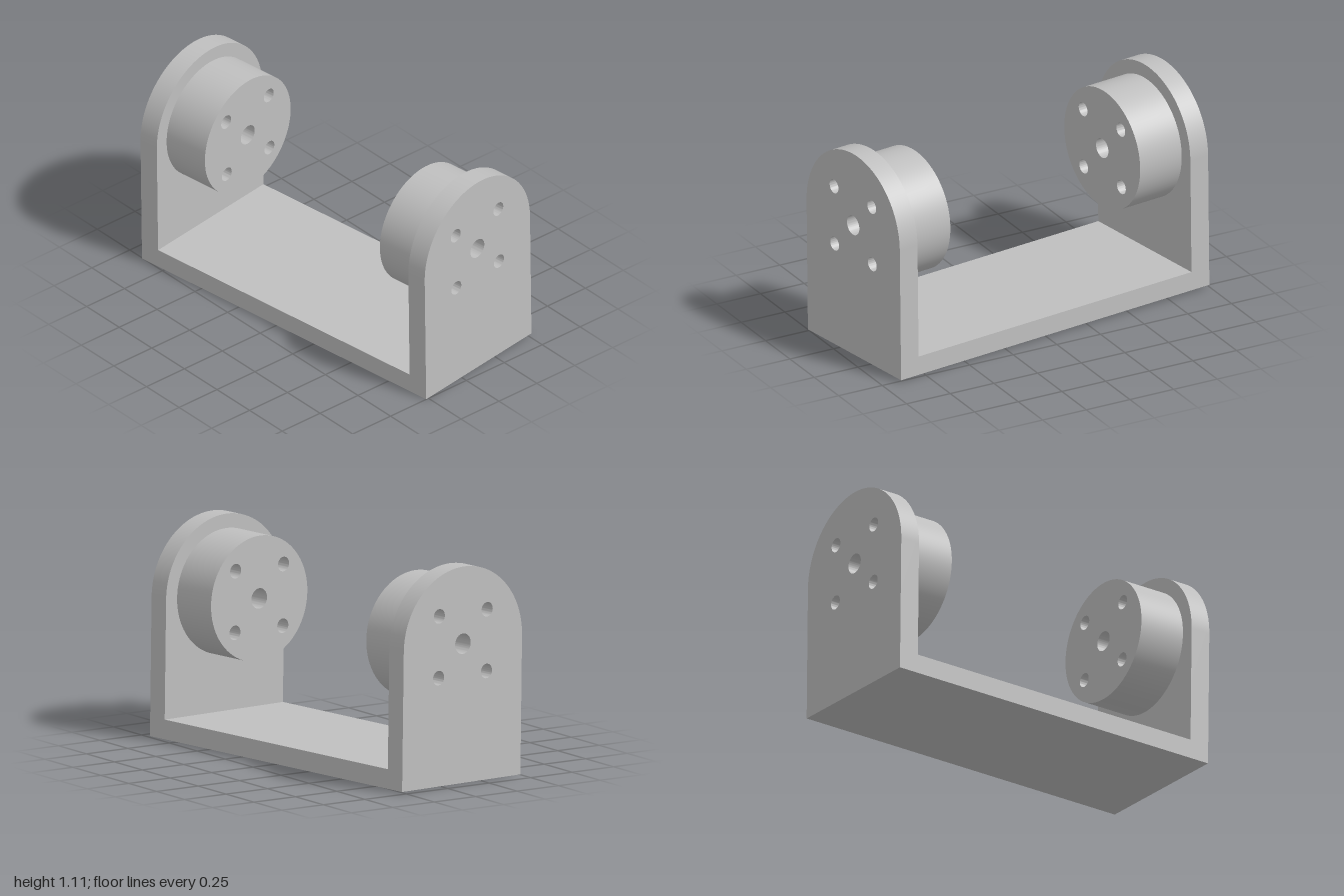
import * as THREE from 'three';
import { toCreasedNormals } from 'three/addons/utils/BufferGeometryUtils.js';

const LENGTH = 1.915, DEPTH = 0.786, WALL = 0.11, FLOOR = 0.1;
const AXIS_Y = 0.71, DRUM_R = 0.32, DRUM_LEN = 0.258;

// Centre bore and four bolt holes, shared by cheeks and drums
function addHoles(shape) {
  const hole = (x, y, r) => {
    const path = new THREE.Path();
    path.absarc(x, y, r, 0, Math.PI * 2, true);
    shape.holes.push(path);
  };
  hole(0, AXIS_Y, 0.052);
  for (const sx of [-1, 1]) for (const sy of [-1, 1]) hole(sx * 0.159, AXIS_Y + sy * 0.157, 0.037);
  return shape;
}

// Extrude a side profile along x, starting at x0
function extrudeX(shape, depth, x0) {
  const geo = new THREE.ExtrudeGeometry(shape, { depth, bevelEnabled: false, curveSegments: 40 });
  geo.rotateY(Math.PI / 2).translate(x0, 0, 0);
  return toCreasedNormals(geo, 0.6);
}

export function createModel() {
  const grey = new THREE.MeshStandardMaterial({ color: 0xbfbfbf });
  grey.name = 'plain grey';
  const bracket = new THREE.Group();
  bracket.name = 'bracket';
  const add = (name, geo) => {
    const mesh = new THREE.Mesh(geo, grey);
    mesh.name = name;
    bracket.add(mesh);
  };

  // Floor plate between the cheeks
  add('floorPlate', new THREE.BoxGeometry(LENGTH - 2 * WALL, FLOOR, DEPTH).translate(0, FLOOR / 2, 0));

  // Round-topped cheek profile
  const r = DEPTH / 2;
  const cheek = new THREE.Shape();
  cheek.moveTo(-r, 0);
  cheek.lineTo(r, 0);
  cheek.lineTo(r, AXIS_Y);
  cheek.absarc(0, AXIS_Y, r, 0, Math.PI, false);
  cheek.lineTo(-r, 0);
  addHoles(cheek);

  // Drum profile
  const drum = new THREE.Shape();
  drum.absarc(0, AXIS_Y, DRUM_R, 0, Math.PI * 2, false);
  addHoles(drum);

  // Cheeks and inward-facing drums on both ends
  const inner = LENGTH / 2 - WALL;
  add('leftCheek', extrudeX(cheek, WALL, inner));
  add('rightCheek', extrudeX(cheek, WALL, -LENGTH / 2));
  add('leftDrum', extrudeX(drum, DRUM_LEN, inner - DRUM_LEN));
  add('rightDrum', extrudeX(drum, DRUM_LEN, -inner));

  // The bracket stands turned, leaning very slightly forward
  bracket.rotation.set(0.0155, 0.126, 0, 'YXZ');
  bracket.position.set(0, 0.006, -0.005);

  const model = new THREE.Group();
  model.name = 'drumBracket';
  model.add(bracket);
  return model;
}
